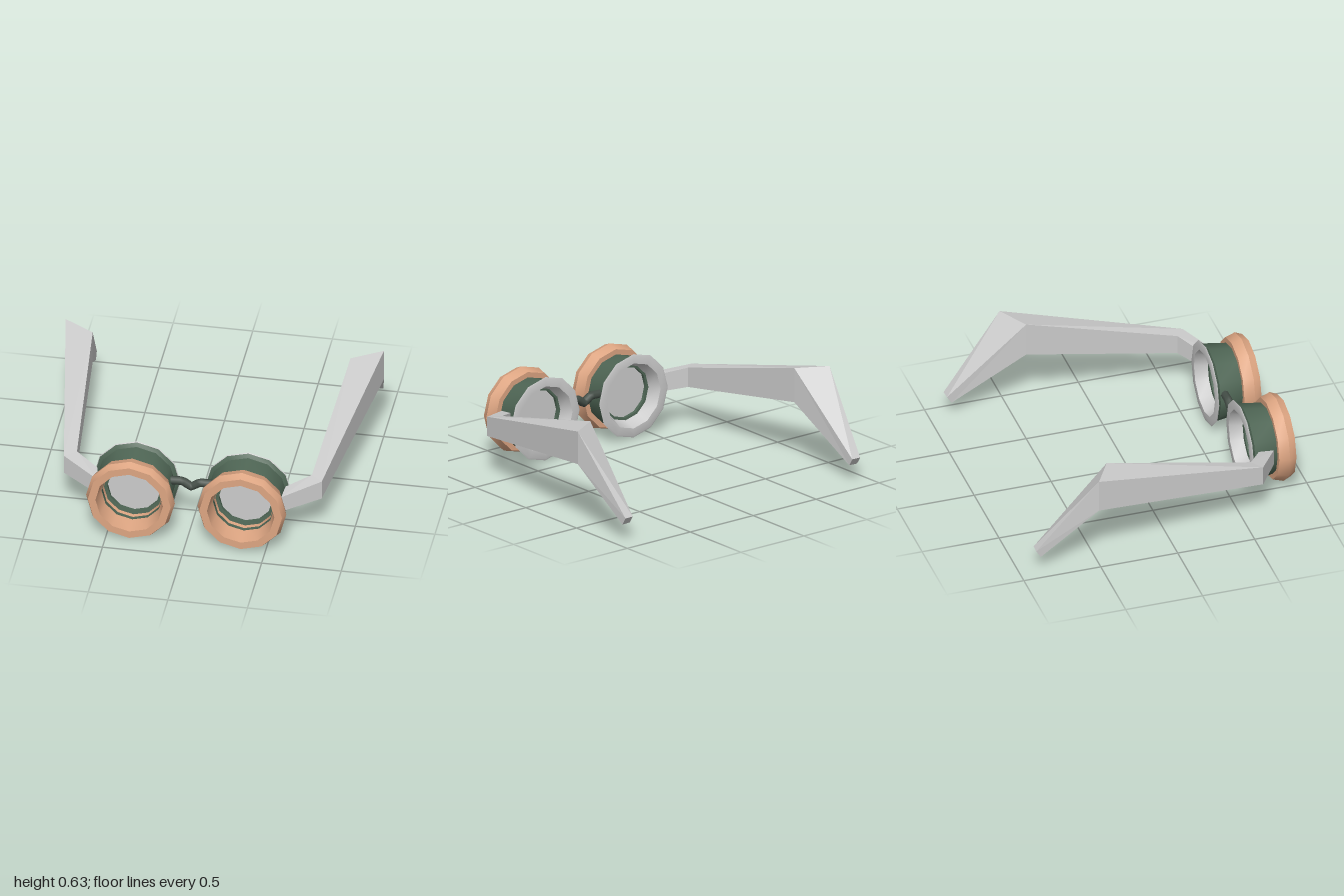
import * as THREE from 'three';
import { toCreasedNormals } from 'three/addons/utils/BufferGeometryUtils.js';

const SIDES = 12;
const EYE = { x: 0.35, y: 0.283 };

const material = (color, extra = {}) => new THREE.MeshStandardMaterial({ color, ...extra });
const grey = material(0xcccccc);
const greyFlat = material(0xcccccc, { flatShading: true });
const lensGrey = material(0xcccccc, { side: THREE.DoubleSide });
const copper = material(0xdda582);
const green = material(0x4f6655);
const darkGreen = material(0x454f48);

function addMesh(parent, name, geometry, mat) {
  const mesh = new THREE.Mesh(geometry, mat);
  mesh.name = name;
  parent.add(mesh);
  return mesh;
}

// Twelve-sided turned part around the z axis; profile points are [radius, z].
function turned(profile) {
  const points = profile.map(([r, z]) => new THREE.Vector2(r, z));
  const geometry = new THREE.LatheGeometry(points, SIDES).rotateX(Math.PI / 2);
  return toCreasedNormals(geometry, 0.6);
}

function createEyepiece(side) {
  const eye = new THREE.Group();
  eye.name = side > 0 ? 'leftEyepiece' : 'rightEyepiece';
  eye.position.set(side * EYE.x, EYE.y, 0);

  // Bevelled front ring with a tapering bore
  addMesh(eye, 'frontRing', turned([
    [0.2, 0.787], [0.259, 0.787], [0.279, 0.852], [0.26, 0.898],
    [0.212, 0.898], [0.186, 0.745], [0.2, 0.745], [0.2, 0.787],
  ]), copper);

  // Flared barrel with a narrow seat around the lens
  addMesh(eye, 'barrel', turned([
    [0.268, 0.617], [0.246, 0.638], [0.224, 0.79], [0.19, 0.79],
    [0.19, 0.74], [0.166, 0.735], [0.166, 0.695], [0.21, 0.69],
  ]), green);

  // Padded rim and inner cup facing the wearer
  addMesh(eye, 'eyeCup', turned([
    [0.18, 0.69], [0.212, 0.61], [0.262, 0.61], [0.272, 0.614], [0.268, 0.62],
  ]), grey);

  const lens = addMesh(eye, 'lens', new THREE.CircleGeometry(0.172, SIDES), lensGrey);
  lens.position.z = 0.715;
  return eye;
}

// Arm cross-sections: outer bottom, outer top, inner top, inner bottom.
const ARM = [
  [[0.58, 0.238, 0.76], [0.58, 0.345, 0.76], [0.59, 0.36, 0.66], [0.59, 0.245, 0.66]],
  [[0.81, 0.268, 0.617], [0.81, 0.394, 0.617], [0.738, 0.398, 0.56], [0.738, 0.272, 0.56]],
  [[1.0, 0.425, -0.512], [1.0, 0.638, -0.512], [0.81, 0.635, -0.4], [0.81, 0.412, -0.4]],
  [[0.932, 0.11, -0.868], [0.932, 0.157, -0.898], [0.872, 0.157, -0.895], [0.872, 0.11, -0.865]],
];

function armGeometry(side) {
  const positions = [];
  const tri = (a, b, c) => {
    for (const p of side > 0 ? [a, b, c] : [a, c, b]) positions.push(side * p[0], p[1], p[2]);
  };
  const quad = (a, b, c, d) => { tri(a, b, c); tri(a, c, d); };
  for (let i = 0; i < ARM.length - 1; i++) {
    for (let k = 0; k < 4; k++) {
      const n = (k + 1) % 4;
      quad(ARM[i][k], ARM[i + 1][k], ARM[i + 1][n], ARM[i][n]);
    }
  }
  // End caps
  quad(...ARM[0]);
  quad(...[...ARM[ARM.length - 1]].reverse());
  const geometry = new THREE.BufferGeometry();
  geometry.setAttribute('position', new THREE.Float32BufferAttribute(positions, 3));
  geometry.computeVertexNormals();
  return geometry;
}

// Bent nose bridge
function bridgeGeometry() {
  const path = new THREE.CurvePath();
  const points = [[-0.14, 0.33], [-0.055, 0.333], [0, 0.297], [0.055, 0.333], [0.14, 0.33]]
    .map(([x, y]) => new THREE.Vector3(x, y, 0.67));
  for (let i = 0; i < points.length - 1; i++) path.add(new THREE.LineCurve3(points[i], points[i + 1]));
  return new THREE.TubeGeometry(path, 16, 0.027, 8, false);
}

export function createModel() {
  const model = new THREE.Group();
  model.name = 'goggles';
  for (const side of [1, -1]) {
    model.add(createEyepiece(side));
    addMesh(model, side > 0 ? 'leftArm' : 'rightArm', armGeometry(side), greyFlat);
  }
  addMesh(model, 'noseBridge', bridgeGeometry(), darkGreen);
  return model;
}
